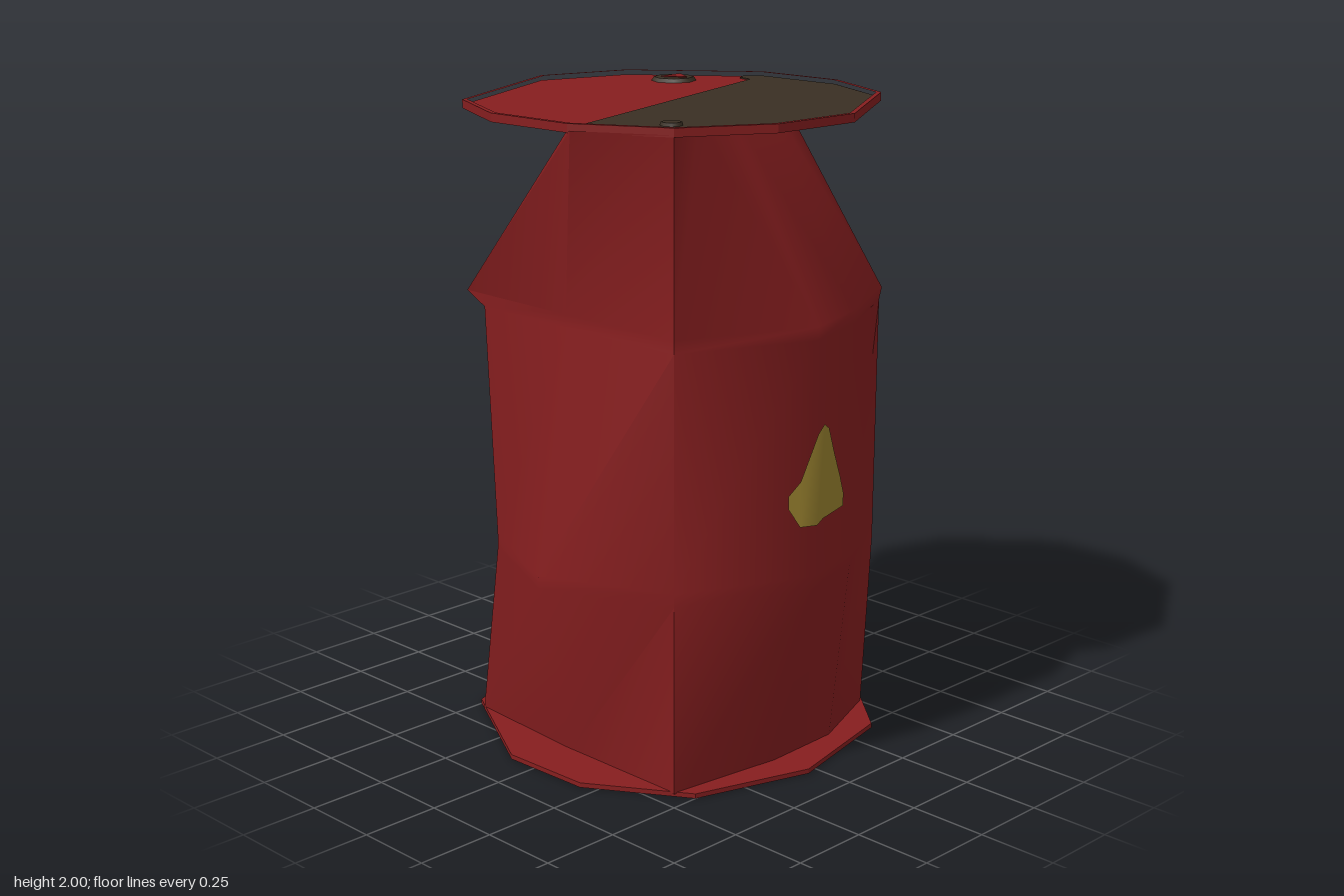
import * as THREE from 'three';
import { toCreasedNormals } from 'three/addons/utils/BufferGeometryUtils.js';

const mat = (name, color, side = THREE.FrontSide) => {
  const m = new THREE.MeshStandardMaterial({ color, side });
  m.name = name;
  return m;
};

// Crushed cross-sections as [x, z], running from front left over front, right and back
const RINGS = [
  { y: 0.01, p: [[-.45, .45], [-.06, .5], [.2, .49], [.48, .38], [.62, .15], [.58, -.16], [.42, -.45], [.17, -.57], [-.1, -.61], [-.42, -.45], [-.45, 0]] },
  { y: 0.60, p: [[-.45, .45], [-.04, .63], [.2, .56], [.46, .43], [.62, .18], [.62, 0], [.46, -.3], [.15, -.46], [-.22, -.57], [-.45, -.33], [-.62, .05]] },
  { y: 0.64, p: [[-.45, .45], [-.04, .63], [.2, .56], [.46, .43], [.57, .18], [.57, -.05], [.56, -.29], [.17, -.43], [-.22, -.57], [-.45, -.33], [-.62, .05]] },
  { y: 1.36, p: [[-.45, .45], [-.04, .63], [.2, .56], [.49, .41], [.49, .12], [.49, -.15], [.49, -.41], [.2, -.513], [-.1, -.62], [-.44, -.38], [-.45, 0]] },
  { y: 1.40, p: [[-.45, .45], [-.04, .63], [.2, .56], [.49, .42], [.53, .1], [.6, -.19], [.48, -.42], [.19, -.56], [-.1, -.62], [-.44, -.46], [-.45, 0]] },
  { y: 1.98, p: [[-.45, .45], [-.2, .3], [.1, .12], [.45, -.06], [.58, -.13], [.6, -.19], [.59, -.187], [.57, -.18], [.55, -.17], [-.59, .17], [-.6, .19]] },
];

// Outlines of lid and base as [x, z]
const LID = [[.03, -.63], [.32, -.54], [.6, -.19], [.62, .11], [.5, .39], [.11, .62],
  [-.19, .6], [-.45, .45], [-.6, .18], [-.62, -.12], [-.5, -.39]];
const BASE = [[-.41, .5], [-.04, .62], [.36, .53], [.58, .27], [.62, 0], [.58, -.26],
  [.2, -.59], [-.1, -.62], [-.39, -.5], [-.61, -.1], [-.6, .2]];

// Dark half of the lid
const STAIN = [[-.58, .18], [-.52, .165], [-.53, .24], [-.55, .27], [-.44, .44], [-.18, .59], [.11, .605],
  [.49, .38], [.605, .11], [.59, -.18], [.55, -.23], [.51, -.21], [.5, -.155]];

function loft(rings) {
  const n = rings[0].p.length;
  const pos = rings.flatMap(r => r.p.flatMap(([x, z]) => [x, r.y, z]));
  const idx = [];
  for (let j = 0; j < rings.length - 1; j++) {
    for (let i = 0; i < n; i++) {
      const a = j * n + i, b = j * n + (i + 1) % n;
      idx.push(a, b, b + n, a, b + n, a + n);
    }
  }
  const g = new THREE.BufferGeometry();
  g.setAttribute('position', new THREE.Float32BufferAttribute(pos, 3));
  g.setIndex(idx);
  return toCreasedNormals(g, 1.1);
}

// Flat plate lying at height y, with an optional scaled hole
function plate(points, y, depth, hole) {
  const flat = k => points.map(([x, z]) => new THREE.Vector2(x * k, -z * k));
  const shape = new THREE.Shape(flat(1));
  if (hole) shape.holes.push(new THREE.Path(flat(hole)));
  const g = new THREE.ExtrudeGeometry(shape, { depth, bevelEnabled: false });
  return g.rotateX(-Math.PI / 2).translate(0, y, 0);
}

// Worn label as vertical columns [x, low, high] laid onto the wall
function label(zAt, flip) {
  const cols = [[-.125, .86, .9], [-.09, .8, .94], [-.04, .8, 1.08], [.0, .81, 1.1],
    [.03, .81, 1.08], [.07, .81, .99], [.11, .81, .91], [.135, .81, .85]];
  const pos = [], idx = [];
  cols.forEach(([cx, lo, hi], i) => {
    const x = flip ? 0.06 - cx : cx;
    pos.push(x, lo, zAt(x, lo), x, hi, zAt(x, hi));
    const a = i * 2;
    if (i < cols.length - 1) idx.push(a, a + 2, a + 3, a, a + 3, a + 1);
  });
  const g = new THREE.BufferGeometry();
  g.setAttribute('position', new THREE.Float32BufferAttribute(pos, 3));
  // Running right to left on the back already turns the faces outward
  g.setIndex(idx);
  g.computeVertexNormals();
  return g;
}

export function createModel() {
  const group = new THREE.Group();
  const red = mat('redPaint', 0x861e1f);
  const redSheet = mat('redSheet', 0x861e1f, THREE.DoubleSide);
  const dark = mat('darkGrime', 0x392f23);
  const yellow = mat('yellowLabel', 0x9c8430);
  const add = (name, geometry, material) => {
    const m = new THREE.Mesh(geometry, material);
    m.name = name;
    group.add(m);
  };

  // Dented wall, folded to a wedge under the lid
  add('wall', loft(RINGS), redSheet);

  // Lid with raised rim, and base
  add('lid', plate(LID, 1.974, 0.01), red);
  add('lidRim', plate(LID, 1.976, 0.024, 0.975), red);
  add('lidStain', plate(STAIN, 1.98, 0.008), dark);
  add('base', plate(BASE, 0, 0.015), red);

  // Bungs through the lid
  const bung = (name, x, z, r, top) => {
    const h = top - 1.966;
    add(name, new THREE.CylinderGeometry(r * 0.75, r, h, 8).translate(x, 1.966 + h / 2, z), dark);
  };
  bung('largeBung', 0.33, -0.33, 0.085, 1.996);
  bung('smallBung', -0.36, 0.35, 0.04, 1.998);
  add('largeBungCap', new THREE.CylinderGeometry(0.05, 0.05, 0.003, 3).translate(0.34, 1.9975, -0.33), red);

  // Labels on front and back
  add('frontLabel', label(x => 0.636 - (x < -0.04 ? -0.44 : 0.29) * (x + 0.04)), yellow);
  add('backLabel', label((x, y) => -0.577 + 0.36 * (x + 0.1) - 0.13 * (y - 0.95), true), yellow);
  return group;
}
